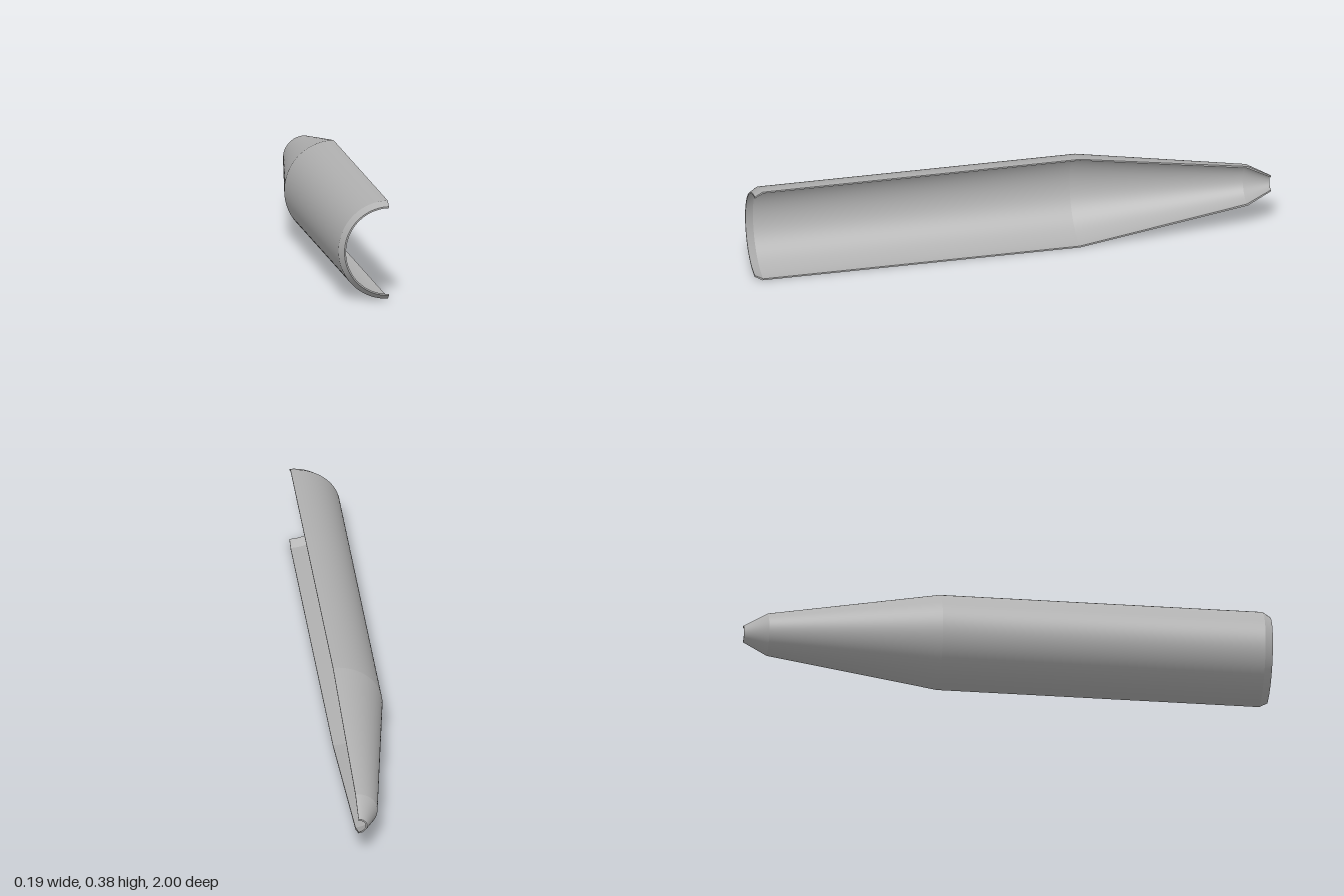
import * as THREE from 'three';

const R = 0.189; // largest radius of the shell

// Closed wall profile as [radius, z]: outside from tip to open end, then back inside
const PROFILE = [
  [0.033, -1], [0.084, -0.91], [R, -0.26], [R, 0.97], [0.171, 1],
  [0.165, 1], [0.183, 0.967], [0.183, -0.26], [0.077, -0.907], [0.027, -1],
].map(([r, z]) => new THREE.Vector2(r, z));

const BANDS = [
  'outerTip', 'outerTaper', 'outerBarrel', 'outerChamfer', 'openRim',
  'innerChamfer', 'innerBarrel', 'innerTaper', 'innerTip', 'tipRim',
];

export function createModel() {
  const model = new THREE.Group();
  model.name = 'halfShell';
  const grey = new THREE.MeshStandardMaterial({ color: 0xb0b0b0 });
  grey.name = 'plain grey';

  const add = (name, geometry) => {
    geometry.rotateX(Math.PI / 2); // lay the axis along z
    geometry.translate(R / 2, R, 0);
    const mesh = new THREE.Mesh(geometry, grey);
    mesh.name = name;
    model.add(mesh);
  };

  // One half-turn band per profile edge: smooth around, sharp between bands
  BANDS.forEach((name, i) => {
    const edge = [PROFILE[i], PROFILE[(i + 1) % PROFILE.length]];
    add(name, new THREE.LatheGeometry(edge, 64, Math.PI, Math.PI));
  });

  // Flat cut faces along the upper and lower edges of the wall
  for (const [name, side] of [['upperCutEdge', 1], ['lowerCutEdge', -1]]) {
    const shape = new THREE.Shape(PROFILE.map((p) => new THREE.Vector2(p.x * side, p.y)));
    add(name, new THREE.ShapeGeometry(shape).rotateY(Math.PI / 2));
  }

  return model;
}
